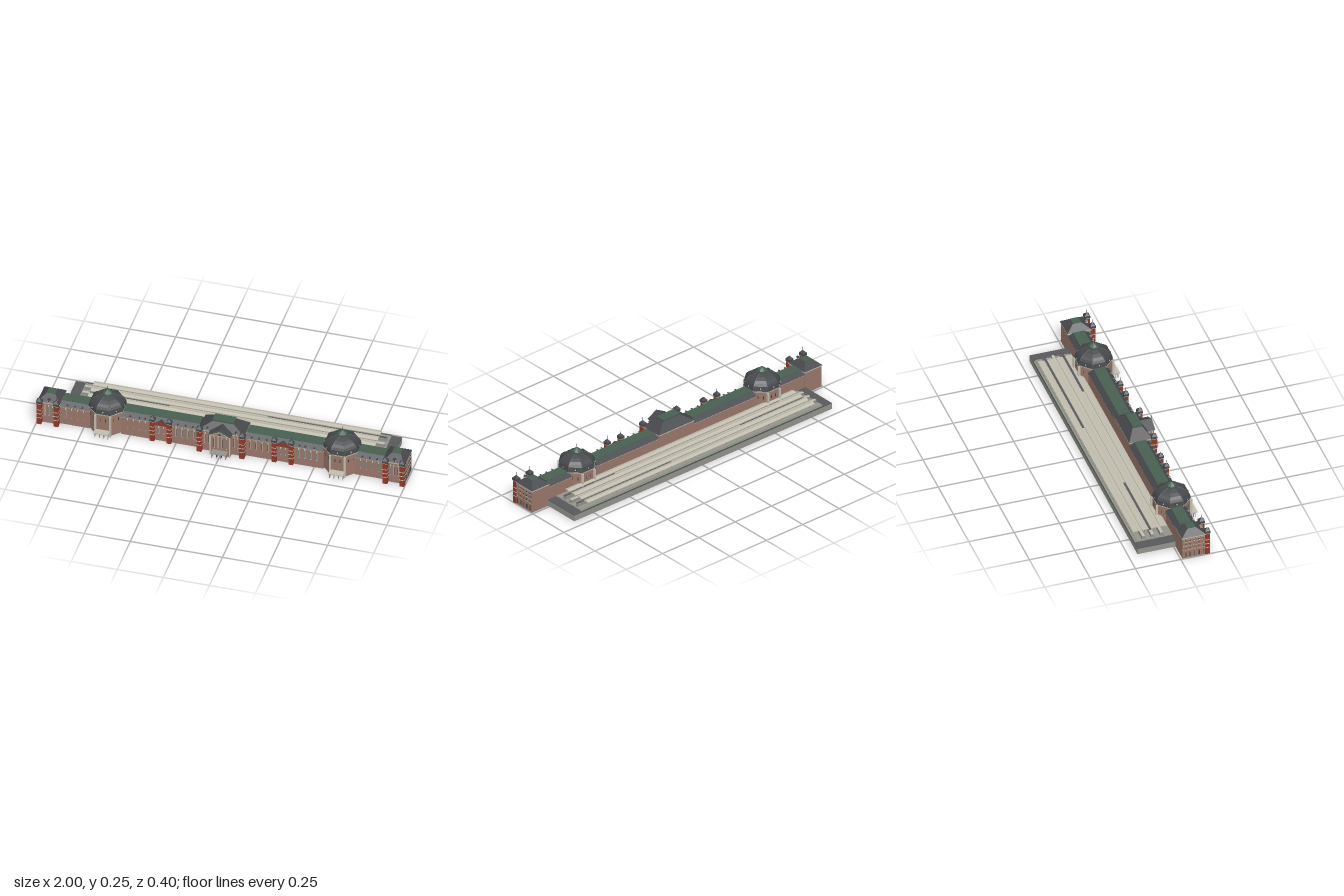
import * as THREE from 'three';

const mat = (name, color, side = THREE.FrontSide) => {
  const m = new THREE.MeshStandardMaterial({ color, side, flatShading: true });
  m.name = name;
  return m;
};

export function createModel() {
  const brick = mat('brick', 0x9b786a, THREE.DoubleSide), red = mat('red brick', 0x8e3a2a);
  const slate = mat('slate', 0x47484c), green = mat('copper green', 0x476052);
  const stone = mat('pale stone', 0xc2beaf), concrete = mat('concrete', 0x94938c);
  const paving = mat('dark paving', 0x58595b), glass = mat('dark glass', 0x3d4347);
  const dark = mat('underside', 0x444447);
  const root = new THREE.Group();
  root.name = 'railwayStation';

  const add = (name, geo, m, x = 0, y = 0, z = 0) => {
    const mesh = new THREE.Mesh(geo, m);
    mesh.name = name;
    mesh.position.set(x, y, z);
    root.add(mesh);
    return mesh;
  };
  // box given by its limits
  const box = (name, m, x0, x1, y0, y1, z0, z1) =>
    add(name, new THREE.BoxGeometry(Math.abs(x1 - x0), y1 - y0, z1 - z0), m, (x0 + x1) / 2, (y0 + y1) / 2, (z0 + z1) / 2);
  // four brick walls, open below and above
  const walls = (name, x0, x1, h, z0, z1) => {
    const g = box(name, brick, x0, x1, 0, h, z0, z1).geometry, idx = Array.from(g.index.array);
    g.clearGroups();
    g.setIndex([...idx.slice(0, 12), ...idx.slice(24)]);
  };
  // hipped roof with a flat green top
  const hip = (name, cx, w, y0, y1, z0, z1, ix, back, front, cap = 0.002) => {
    const g = new THREE.BoxGeometry(w, y1 - y0, z1 - z0), p = g.attributes.position;
    for (let i = 0; i < p.count; i++) if (p.getY(i) > 0) {
      p.setX(i, p.getX(i) - Math.sign(p.getX(i)) * ix);
      p.setZ(i, p.getZ(i) > 0 ? p.getZ(i) - front : p.getZ(i) + back);
    }
    g.computeVertexNormals();
    add(name, g, slate, cx, (y0 + y1) / 2, (z0 + z1) / 2);
    box(name + 'Top', green, cx - w / 2 + ix, cx + w / 2 - ix, y1 - 0.001, y1 + cap, z0 + back, z1 - front);
  };
  // triangular prism, ridge along z
  const gable = (name, m, w, h, d, x, y, z) => {
    const s = new THREE.Shape();
    s.moveTo(-w / 2, 0); s.lineTo(w / 2, 0); s.lineTo(0, h); s.closePath();
    return add(name, new THREE.ExtrudeGeometry(s, { depth: d, bevelEnabled: false }), m, x, y, z);
  };
  const octagon = (r0, r1, h, open = false) => new THREE.CylinderGeometry(r1, r0, h, 8, 1, open, Math.PI / 8);
  const pyramid = (w, h) => new THREE.CylinderGeometry(0, w / Math.SQRT2, h, 4, 1, false, Math.PI / 4);
  const finial = (x, y, z, h) => add('finial', new THREE.CylinderGeometry(0.0006, 0.0011, h, 6), slate, x, y + h / 2, z);

  // banded red corner turret with cap and finial
  const turret = (x, z, w, h) => {
    box('turretShaft', red, x - w / 2, x + w / 2, 0, h, z - w / 2, z + w / 2);
    for (const y of [0.04, 0.065, 0.09, h - 0.004])
      box('turretBand', stone, x - w / 2 - 0.001, x + w / 2 + 0.001, y, y + 0.004, z - w / 2 - 0.001, z + w / 2 + 0.001);
    const c = w / 2 + 0.002;
    box('turretCap', slate, x - c, x + c, h, h + 0.013, z - c, z + c);
    add('turretRoof', pyramid(w + 0.004, 0.017), slate, x, h + 0.0215, z);
    finial(x, h + 0.026, z, 0.022);
  };
  // tall stone-framed windows on a front wall at z
  const facade = (x0, x1, z, top, n) => {
    const step = (x1 - x0) / n;
    for (let i = 0; i < n; i++) {
      const x = x0 + step * (i + 0.5);
      box('windowFrame', stone, x - 0.0028, x + 0.0028, 0.045, top, z, z + 0.0015);
      box('window', glass, x - 0.001, x + 0.001, 0.05, top - 0.012, z, z + 0.002);
    }
  };
  const dormer = (x, y, z, w = 0.012) => {
    box('dormer', stone, x - w / 2, x + w / 2, y, y + w * 0.8, z - 0.014, z);
    box('dormerWindow', glass, x - w / 4, x + w / 4, y + 0.002, y + w * 0.7, z, z + 0.001);
    gable('dormerRoof', slate, w * 1.3, w * 0.5, 0.016, x, y + w * 0.8, z - 0.015);
  };
  // entrance canopy on thin posts
  const canopy = (x, half, roof, post) => {
    box('entranceCanopy', roof, x - half, x + half, 0.029, 0.034, 0.155, 0.201);
    for (let i = 0; i < 4; i++) for (const z of [0.18, 0.193]) {
      const px = x - half + 0.005 + i * (half * 2 - 0.01) / 3;
      box('canopyPost', post, px - 0.0012, px + 0.0012, 0, 0.029, z - 0.0012, z + 0.0012);
    }
  };
  const wing = (cx, w, z0, z1) => {
    walls('wingWall', cx - w / 2, cx + w / 2, 0.109, z0, z1);
    box('wingCornice', stone, cx - w / 2, cx + w / 2, 0.109, 0.112, z0 - 0.001, z1 + 0.002);
    hip('wingRoof', cx, w, 0.112, 0.134, z0 - 0.002, z1 + 0.003, 0.008, 0.026, 0.029);
  };

  for (const s of [-1, 1]) {
    // end pavilion
    walls('endPavilion', s * 0.88, s * 0.995, 0.125, 0.01, 0.137);
    box('endCornice', stone, s * 0.877, s * 0.998, 0.125, 0.131, 0.007, 0.14);
    hip('endRoof', s * 0.9375, 0.121, 0.131, 0.162, 0.007, 0.14, 0.037, 0.042, 0.045);
    facade(s * 0.9375 - 0.03, s * 0.9375 + 0.03, 0.137, 0.115, 3);
    dormer(s * 0.9375, 0.135, 0.138, 0.014);
    for (const x of [0.893, 0.985]) turret(s * x, 0.149, 0.026, 0.134);
    // end wall bands and windows
    for (const y of [0.05, 0.075, 0.1, 0.117]) box('endBand', stone, s * 0.995, s * 0.996, y, y + 0.0012, 0.01, 0.137);
    for (const z of [0.127, 0.104, 0.098, 0.076, 0.057, 0.051, 0.032, 0.026]) {
      box('endTallWindow', glass, s * 0.995, s * 0.996, 0.008, 0.036, z - 0.0016, z + 0.0016);
      for (const y of [0.056, 0.083, 0.105]) {
        box('endWindow', glass, s * 0.995, s * 0.9962, y, y + 0.008, z - 0.0012, z + 0.0012);
        box('endSill', stone, s * 0.995, s * 0.9964, y - 0.0015, y, z - 0.0028, z + 0.0028);
      }
    }

    // wings either side of the dome
    wing(s * 0.8, 0.165, 0.012, 0.125);
    facade(s * 0.8 - 0.065, s * 0.8 + 0.065, 0.125, 0.107, 4);
    wing(s * 0.335, 0.43, 0.012, 0.125);
    facade(s * 0.465 - 0.065, s * 0.465 + 0.065, 0.125, 0.107, 4);
    facade(s * 0.2 - 0.065, s * 0.2 + 0.065, 0.125, 0.107, 4);
    facade(s * 0.331 - 0.026, s * 0.331 + 0.026, 0.125, 0.093, 2);
    for (const x of [0.76, 0.8, 0.84, 0.5, 0.45, 0.42, 0.24, 0.2, 0.16]) dormer(s * x, 0.114, 0.126, 0.008);
    // turreted bay in the long wing
    box('bayParapet', red, s * 0.29, s * 0.372, 0.098, 0.114, 0.12, 0.128);
    gable('bayGable', red, 0.05, 0.011, 0.003, s * 0.331, 0.114, 0.125);
    gable('bayGableRoof', slate, 0.056, 0.0135, 0.02, s * 0.331, 0.114, 0.107);
    for (const x of [0.285, 0.377]) turret(s * x, 0.129, 0.024, 0.128);

    // domed octagonal hall
    const dx = s * 0.637, dz = 0.07;
    add('domeHall', octagon(0.099, 0.099, 0.127, true), brick, dx, 0.0635, dz);
    add('domeCornice', octagon(0.1, 0.103, 0.008), stone, dx, 0.13, dz);
    for (const z of [dz - 0.094, dz + 0.094]) for (const x of [-0.04, 0.04])
      box('hallPier', stone, dx + x - 0.005, dx + x + 0.005, 0, 0.127, z - 0.006, z + 0.006);
    const pts = [[0.101, 0.134], [0.098, 0.147], [0.095, 0.16], [0.087, 0.172], [0.074, 0.184], [0.054, 0.194], [0.026, 0.204]];
    for (let i = 0; i + 1 < pts.length; i++) {
      const [r0, y0] = pts[i], [r1, y1] = pts[i + 1];
      add('domeShell', octagon(r0, r1, y1 - y0), slate, dx, (y0 + y1) / 2, dz);
    }
    for (let k = 0; k < 8; k++) {
      const face = new THREE.Group();
      face.name = 'domeFace';
      face.position.set(dx, 0, dz);
      face.rotation.y = k * Math.PI / 4;
      root.add(face);
      const put = (name, geo, m, x, y, z) => face.add(add(name, geo, m, x, y, z));
      // round dormer, windows and ribs
      put('domeDormer', new THREE.BoxGeometry(0.014, 0.013, 0.014), slate, 0, 0.148, 0.086);
      put('domeDormerEye', new THREE.CylinderGeometry(0.004, 0.004, 0.002, 10).rotateX(Math.PI / 2), stone, 0, 0.149, 0.0935);
      for (const x of [-0.014, 0.014])
        put('hallWindow', new THREE.BoxGeometry(0.004, 0.018, 0.002), glass, x, 0.096, 0.0912);
      const path = new THREE.CatmullRomCurve3(pts.map(([r, y]) =>
        new THREE.Vector3(r * Math.sin(Math.PI / 8), y, r * Math.cos(Math.PI / 8))));
      put('domeRib', new THREE.TubeGeometry(path, 10, 0.0015, 4), green, 0, 0, 0);
    }
    add('lantern', octagon(0.022, 0.022, 0.012), green, dx, 0.209, dz);
    add('lanternEave', octagon(0.027, 0.025, 0.003), green, dx, 0.2155, dz);
    add('lanternRoof', octagon(0.025, 0.012, 0.01), green, dx, 0.222, dz);
    add('lanternTip', octagon(0.012, 0.001, 0.007), green, dx, 0.2305, dz);
    finial(dx, 0.231, dz, 0.024);
    canopy(dx, 0.04, stone, concrete);

    turret(s * 0.116, 0.148, 0.026, 0.132);
  }

  // central block with projecting porch
  walls('centreWall', -0.12, 0.12, 0.126, 0.012, 0.137);
  box('centreCornice', stone, -0.123, 0.123, 0.126, 0.131, 0.011, 0.14);
  hip('centreRoof', 0, 0.246, 0.131, 0.173, 0.011, 0.14, 0.065, 0.04, 0.035, 0.009);
  for (const s of [-1, 1]) {
    facade(s * 0.078 - 0.02, s * 0.078 + 0.02, 0.137, 0.118, 2);
    dormer(s * 0.078, 0.136, 0.139, 0.01);
  }
  walls('porchWall', -0.055, 0.055, 0.132, 0.13, 0.163);
  facade(-0.045, 0.045, 0.163, 0.122, 4);
  for (const x of [-0.053, 0.053]) box('porchPilaster', stone, x - 0.003, x + 0.003, 0, 0.132, 0.16, 0.17);
  box('porchCornice', stone, -0.058, 0.058, 0.13, 0.135, 0.13, 0.172);
  gable('porchRoof', slate, 0.122, 0.033, 0.08, 0, 0.135, 0.092);
  gable('pedimentEdge', green, 0.122, 0.033, 0.004, 0, 0.135, 0.172);
  gable('pediment', stone, 0.106, 0.027, 0.001, 0, 0.135, 0.176);
  gable('pedimentFace', brick, 0.084, 0.02, 0.001, 0, 0.138, 0.1768);
  box('pedimentWindow', glass, -0.005, 0.005, 0.14, 0.149, 0.177, 0.1785);
  finial(0, 0.166, 0.174, 0.02);
  canopy(0, 0.042, concrete, slate);

  // track deck
  box('trackDeck', concrete, -0.885, 0.885, 0.0005, 0.034, -0.2, 0.012);
  box('deckPaving', paving, -0.885, 0.885, 0.034, 0.037, -0.2, 0.012);
  box('deckUnderside', dark, -0.85, 0.85, 0, 0.0006, -0.17, -0.005);
  box('trackBed', concrete, -0.83, 0.83, 0.037, 0.038, -0.196, 0.012);
  box('deckEdge', green, -0.83, 0.83, 0.037, 0.041, -0.2, -0.197);

  // platforms with shallow gabled canopies
  for (const z of [-0.17, -0.12, -0.07, -0.02]) {
    box('platform', concrete, -0.83, 0.83, 0.037, 0.042, z - 0.016, z + 0.016);
    gable('platformRoof', stone, 0.036, 0.005, 1.56, -0.78, 0.067, z).rotation.y = Math.PI / 2;
    box('platformRoofEdge', stone, -0.78, 0.78, 0.0655, 0.067, z - 0.018, z + 0.018);
    for (let i = 0; i < 17; i++) {
      const x = -0.76 + i * 0.095;
      box('platformPost', concrete, x - 0.001, x + 0.001, 0.042, 0.066, z - 0.001, z + 0.001);
    }
  }
  // trains, each with a dark-roofed stretch
  for (const [z, x0, x1] of [[-0.145, 0.17, 0.82], [-0.095, -0.78, -0.35], [-0.045, 0.47, 0.82]]) {
    box('train', concrete, -0.82, 0.82, 0.04, 0.059, z - 0.008, z + 0.008);
    box('trainRoof', stone, -0.82, 0.82, 0.059, 0.06, z - 0.0075, z + 0.0075);
    box('trainDarkRoof', paving, x0, x1, 0.06, 0.061, z - 0.0075, z + 0.0075);
  }
  return root;
}
